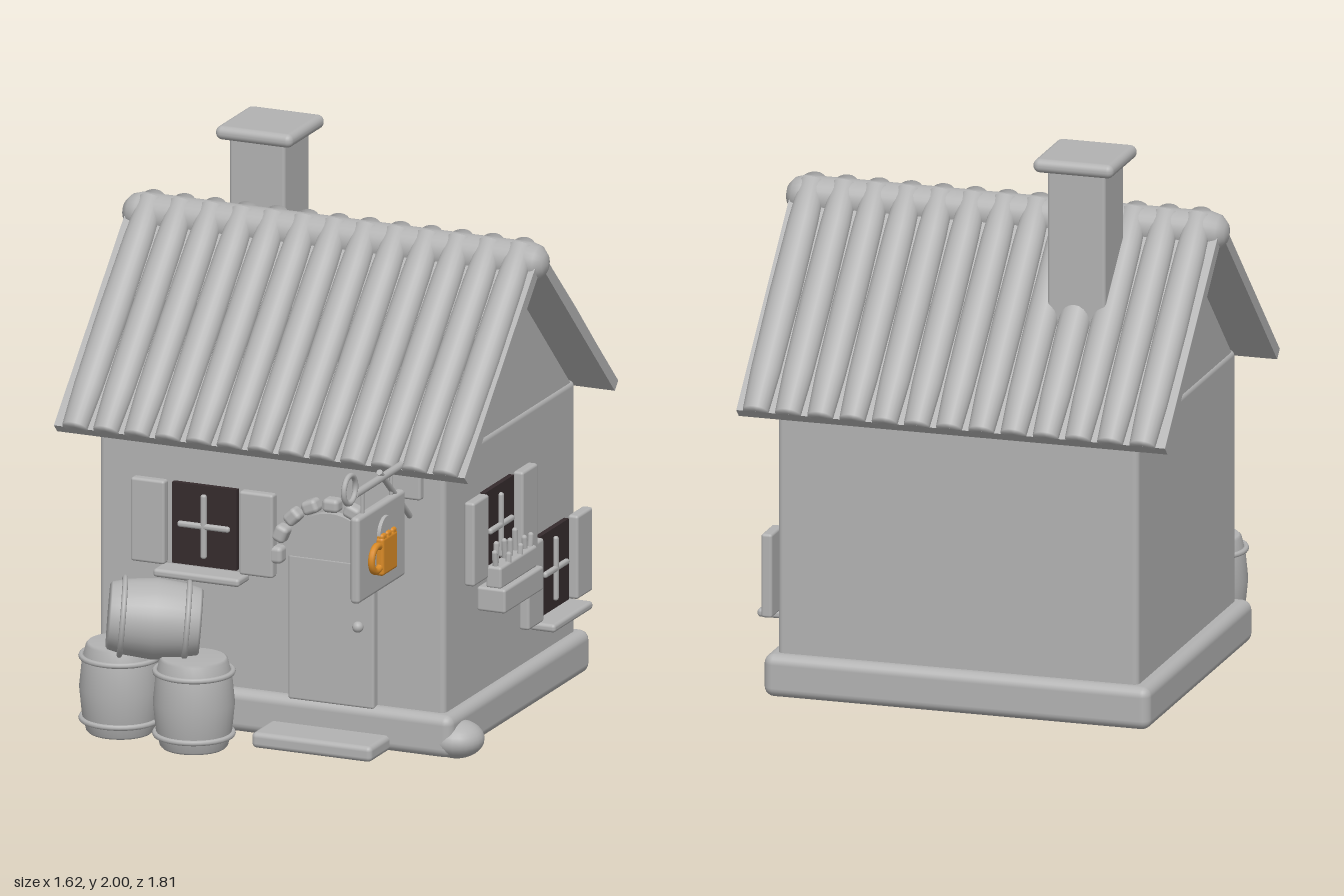
import * as THREE from 'three';
import { RoundedBoxGeometry } from 'three/addons/geometries/RoundedBoxGeometry.js';

const material = (name, color) => {
  const m = new THREE.MeshStandardMaterial({ color });
  m.name = name;
  return m;
};

export function createModel() {
  const model = new THREE.Group();
  model.name = 'cottage';
  const grey = material('plain grey', 0xb2b2b2);
  const dark = material('dark window', 0x352b2d);
  const orange = material('amber mug', 0xd98a26);

  const add = (parent, name, geometry, x, y, z, mat = grey) => {
    const mesh = new THREE.Mesh(geometry, mat);
    mesh.name = name;
    mesh.position.set(x, y, z);
    parent.add(mesh);
    return mesh;
  };
  const group = (parent, name, x, y, z) => {
    const g = new THREE.Group();
    g.name = name;
    g.position.set(x, y, z);
    parent.add(g);
    return g;
  };
  const block = (w, h, d, r = 0.01) => new RoundedBoxGeometry(w, h, d, 3, Math.min(r, w / 2.1, h / 2.1, d / 2.1));
  const rod = (parent, name, a, b, r) => {
    const start = new THREE.Vector3(...a), dir = new THREE.Vector3(...b).sub(start);
    const mid = start.clone().addScaledVector(dir, 0.5);
    const mesh = add(parent, name, new THREE.CylinderGeometry(r, r, dir.length(), 12), mid.x, mid.y, mid.z);
    mesh.quaternion.setFromUnitVectors(new THREE.Vector3(0, 1, 0), dir.normalize());
  };

  const midZ = -0.215;

  // Plinth, walls and gable
  add(model, 'plinth', block(1.42, 0.155, 1.2, 0.035), 0, 0.0975, midZ);
  add(model, 'walls', block(1.325, 0.97, 1.115, 0.02), 0.005, 0.605, midZ);
  const gableShape = new THREE.Shape();
  gableShape.moveTo(-0.54, 0);
  gableShape.lineTo(0.54, 0);
  gableShape.lineTo(0, 0.54);
  const gable = add(model, 'gable',
    new THREE.ExtrudeGeometry(gableShape, { depth: 1.31, bevelEnabled: false }), -0.65, 1.075, midZ);
  gable.rotation.y = Math.PI / 2;

  // Roof halves: a sloping board carrying thirteen rounded tile rows
  const tileProfile = [[0.001, -0.463], [0.047, -0.463], [0.054, -0.3], [0.057, 0], [0.054, 0.3], [0.047, 0.463], [0.001, 0.463]]
    .map(([r, h]) => new THREE.Vector2(r, h));
  const tileGeometry = new THREE.LatheGeometry(tileProfile, 20);
  tileGeometry.scale(1, 1, 0.83);
  tileGeometry.rotateX(Math.PI / 2);
  for (const turn of [0, Math.PI]) {
    const half = group(model, turn ? 'backRoof' : 'frontRoof', 0, 1.3725, midZ);
    half.rotation.y = turn;
    const slope = group(half, 'roofSlope', 0, 0, 0.2975);
    slope.rotation.x = Math.PI / 4;
    add(slope, 'roofBoard', new THREE.BoxGeometry(1.575, 0.042, 0.926), 0, 0.021, 0);
    for (let i = 0; i < 13; i++) {
      add(slope, 'tileRow', tileGeometry, (turn ? -1 : 1) * (-0.705 + i * 0.1183), 0.046, 0);
    }
  }
  const ridge = add(model, 'ridgeBeam', new THREE.CapsuleGeometry(0.072, 1.6, 3, 24), 0, 1.68, midZ);
  ridge.geometry.scale(1, 1.625 / 1.744, 1);
  ridge.rotation.z = Math.PI / 2;

  // Chimney
  add(model, 'chimney', block(0.213, 0.66, 0.213, 0.012), -0.357, 1.64, -0.44);
  add(model, 'chimneyCap', block(0.295, 0.05, 0.3, 0.024), -0.357, 1.975, -0.445);

  // Windows with crossed bars, shutters and an optional sill
  const addWindow = (name, x, y, z, turn, sill) => {
    const w = group(model, name, x, y, z);
    w.rotation.y = turn;
    add(w, 'pane', new THREE.BoxGeometry(0.247, 0.295, 0.02), 0, 0, 0.01, dark);
    add(w, 'crossBar', block(0.2, 0.022, 0.02), 0, 0, 0.025);
    add(w, 'uprightBar', block(0.022, 0.235, 0.02), 0, 0, 0.025);
    for (const s of [-1, 1]) add(w, 'shutter', block(0.13, 0.305, 0.04), s * 0.208, 0, 0.025);
    if (sill) add(w, 'sill', block(0.33, 0.03, 0.1, 0.012), 0, -0.17, 0.045);
    return w;
  };
  addWindow('frontWindow', -0.245, 0.752, 0.343, 0, true);
  addWindow('sideWindowRear', 0.667, 0.465, -0.55, Math.PI / 2, true);
  const planted = addWindow('sideWindowFront', 0.667, 0.752, -0.083, Math.PI / 2, false);
  add(planted, 'flowerBox', block(0.33, 0.088, 0.11), 0, -0.228, 0.06);
  add(planted, 'plantBed', block(0.31, 0.08, 0.06), 0, -0.148, 0.065);
  for (let i = 0; i < 9; i++) {
    const h = 0.1 + 0.025 * Math.sin(i * 2.3);
    const stalk = add(planted, 'stalk', new THREE.CapsuleGeometry(0.011, h, 3, 8),
      -0.135 + i * 0.034, -0.16 + h / 2, 0.065 + 0.018 * Math.sin(i * 4));
    stalk.rotation.z = 0.15 * Math.cos(i * 1.9);
  }

  // Arched door, stone surround and step
  const door = group(model, 'door', 0.245, 0, 0.34);
  add(door, 'doorLeaf', block(0.33, 0.53, 0.04), 0, 0.43, 0.015);
  const archShape = new THREE.Shape();
  archShape.absarc(0, 0, 0.17, 0, Math.PI);
  add(door, 'doorArch',
    new THREE.ExtrudeGeometry(archShape, { depth: 0.035, bevelEnabled: false, curveSegments: 24 }), 0, 0.69, 0);
  add(door, 'doorKnob', new THREE.SphereGeometry(0.02, 16, 12), 0.11, 0.465, 0.048);
  for (let i = 0; i < 9; i++) {
    const a = (i / 8) * Math.PI;
    const stone = add(door, 'archStone', block(0.05, 0.062, 0.06, 0.016),
      0.21 * Math.cos(a), 0.685 + 0.205 * Math.sin(a), 0.018);
    stone.rotation.z = a;
  }
  add(model, 'doorStep', block(0.46, 0.057, 0.2, 0.018), 0.245, 0.053, 0.445);

  // Boulders at the front corners
  const rightBoulder = add(model, 'boulder', new THREE.SphereGeometry(1, 24, 16), 0.69, 0.073, 0.29);
  rightBoulder.scale.set(0.098, 0.067, 0.098);
  const leftBoulder = add(model, 'boulder', new THREE.SphereGeometry(1, 24, 16), -0.62, 0.075, 0.34);
  leftBoulder.scale.set(0.085, 0.07, 0.08);

  // Barrels: bulging staves with two hoops
  const barrelProfile = [[0.001, -0.163], [0.112, -0.163], [0.12, -0.155], [0.134, -0.1], [0.144, 0],
    [0.134, 0.1], [0.12, 0.155], [0.112, 0.163], [0.001, 0.163]].map(([r, h]) => new THREE.Vector2(r, h));
  const addBarrel = (x, y, z) => {
    const b = group(model, 'barrel', x, y, z);
    add(b, 'staves', new THREE.LatheGeometry(barrelProfile, 32), 0, 0, 0);
    for (const s of [-1, 1]) {
      const hoop = add(b, 'hoop', new THREE.TorusGeometry(0.137, 0.01, 8, 32), 0, s * 0.113, 0);
      hoop.rotation.x = Math.PI / 2;
    }
    return b;
  };
  addBarrel(-0.49, 0.186, 0.535);
  addBarrel(-0.178, 0.186, 0.6);
  const lying = addBarrel(-0.335, 0.465, 0.587);
  lying.rotation.set(0, 0.42, Math.PI / 2 - 0.08);

  // Hanging sign on its bracket
  const sign = group(model, 'hangingSign', 0.533, 0, 0);
  add(sign, 'wallPlate', block(0.115, 0.13, 0.035), 0, 1.015, 0.362);
  rod(sign, 'bracketArm', [0, 1.085, 0.34], [0, 1.085, 0.81], 0.014);
  rod(sign, 'bracketBrace', [0, 1.11, 0.6], [0, 0.88, 0.34], 0.011);
  const ring = add(sign, 'bracketRing', new THREE.TorusGeometry(0.05, 0.01, 10, 28), 0, 1.115, 0.853);
  ring.rotation.y = Math.PI / 2;
  for (const z of [0.745, 0.5]) rod(sign, 'hanger', [0, 0.99, z], [0, 1.085, z], 0.007);
  add(sign, 'signBoard', block(0.036, 0.315, 0.4, 0.014), 0, 0.843, 0.615);

  // Mug emblem on the sign
  const mug = group(sign, 'mug', 0.027, 0.82, 0.6);
  mug.rotation.y = Math.PI / 2;
  add(mug, 'mugFoam', new THREE.CylinderGeometry(0.06, 0.06, 0.016, 28), 0, 0.075, -0.004).rotation.x = Math.PI / 2;
  add(mug, 'mugBody', block(0.128, 0.14, 0.034, 0.012), 0, 0, 0, orange);
  for (const s of [-1, 0, 1]) {
    add(mug, 'mugRim', block(0.035, 0.03, 0.03), s * 0.043, 0.067, 0, orange);
  }
  add(mug, 'mugHandle', new THREE.TorusGeometry(0.045, 0.013, 10, 28), -0.083, 0, 0, orange);

  return model;
}
